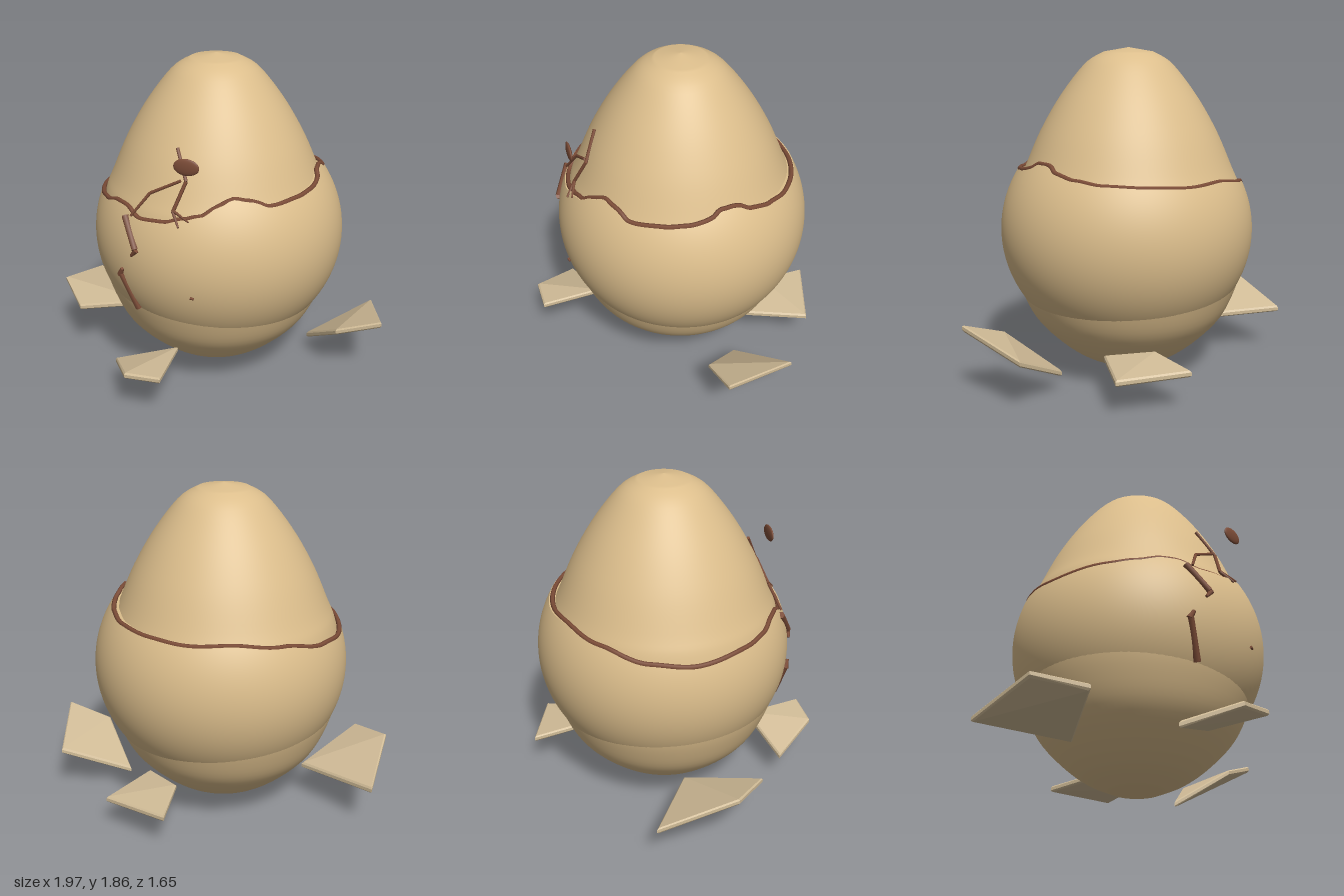
import * as THREE from 'three';
import { ConvexGeometry } from 'three/addons/geometries/ConvexGeometry.js';

const mat = (name, color) => new THREE.MeshStandardMaterial({ name, color });
const eggMat = mat('tan eggshell', 0xdcbe8c);
const shardMat = mat('pale shard', 0xd2bd98);
const crackMat = mat('brown crack', 0x7d4d38);

// Egg profile as [radius, height], bottom to top
const EGG = { x: -0.035, z: -0.045 };
const profile = [[0.14, 0.035], [0.285, 0.1], [0.42, 0.2], [0.55, 0.34], [0.625, 0.5], [0.663, 0.65],
  [0.674, 0.8], [0.664, 0.95], [0.63, 1.1], [0.588, 1.2], [0.5, 1.4], [0.383, 1.6], [0.245, 1.775], [0.14, 1.841]];
const curve = new THREE.SplineCurve(profile.map(p => new THREE.Vector2(...p)));
const eggPoints = [new THREE.Vector2(0, 0.005), ...curve.getPoints(60), new THREE.Vector2(0, 1.865)];

function eggRadius(y) {
  const i = Math.max(1, eggPoints.findIndex(p => p.y >= y));
  const a = eggPoints[i - 1], b = eggPoints[i];
  return THREE.MathUtils.lerp(a.x, b.x, (y - a.y) / (b.y - a.y));
}

// Outer lower shell: a slightly flattened ball cut off at a wavy rim
const SHELL = { x: -0.02, y: 0.84, z: -0.05, r: 0.72, ry: 0.68 };
const shellRadius = y => SHELL.r * Math.sqrt(1 - ((y - SHELL.y) / SHELL.ry) ** 2);

// Rim height by angle in degrees, measured from the front towards +x
const rim = [[-90, 1.06], [-63, 1.085], [-50, 1.1], [-38, 1.13], [-31, 1.13], [-20, 1.09], [-7, 1.1],
  [3, 1.13], [11, 1.15], [20, 1.2], [27, 1.23], [36, 1.215], [46, 1.18], [63, 1.19], [76, 1.2], [85, 1.215],
  [93, 1.25], [101, 1.25], [111, 1.21], [121, 1.19], [137, 1.17], [160, 1.16], [180, 1.15], [200, 1.16],
  [225, 1.13], [250, 1.08], [270, 1.06]];
function rimHeight(phi) {
  let d = THREE.MathUtils.radToDeg(phi);
  d = ((d + 90) % 360 + 360) % 360 - 90;
  const i = Math.max(1, rim.findIndex(p => p[0] >= d));
  const [a, b] = [rim[i - 1], rim[i]];
  return THREE.MathUtils.lerp(a[1], b[1], THREE.MathUtils.smoothstep(d, a[0], b[0]));
}

function shellGeometry() {
  const rows = 30, segs = 144, n = rows + 3;
  const g = new THREE.LatheGeometry(Array.from({ length: n }, (_, j) => new THREE.Vector2(1, j)), segs, Math.PI);
  const pos = g.attributes.position, nor = g.attributes.normal;
  for (let k = 0; k < pos.count; k++) {
    const j = k % n, phi = Math.PI + Math.floor(k / n) / segs * Math.PI * 2;
    const top = rimHeight(phi);
    const y = THREE.MathUtils.lerp(0.45, top, Math.min(j / rows, 1));
    const s = Math.sin(phi), c = Math.cos(phi);
    const r = shellRadius(y) - (j === rows + 2 ? 0.06 : 0);
    pos.setXYZ(k, s * r, y, c * r);
    // The last two rows form the flat lip
    const v = j > rows ? new THREE.Vector3(0, 1, 0)
      : new THREE.Vector3(s * r / SHELL.r ** 2, (y - SHELL.y) / SHELL.ry ** 2, c * r / SHELL.r ** 2).normalize();
    nor.setXYZ(k, v.x, v.y, v.z);
  }
  return g;
}

// Front surface point at a given x and y, raised by lift
function onFront(x, y, lift) {
  const depth = (r, cx) => Math.sqrt(Math.max(0, r * r - (x - cx) ** 2));
  let z = EGG.z + depth(eggRadius(y), EGG.x);
  if (y > 0.45 && y < rimHeight(Math.atan2(x - SHELL.x, z - SHELL.z))) {
    z = Math.max(z, SHELL.z + depth(shellRadius(y), SHELL.x));
  }
  return new THREE.Vector3(x, y, z + lift);
}

// Straight tapered rod between two points
function rod(a, b, r0, r1) {
  const d = b.clone().sub(a);
  const m = new THREE.Mesh(new THREE.CylinderGeometry(r1, r0, d.length(), 6), crackMat);
  m.position.copy(a).addScaledVector(d, 0.5);
  m.quaternion.setFromUnitVectors(new THREE.Vector3(0, 1, 0), d.normalize());
  return m;
}

// Thin bevelled slab from four corners
function slab(corners) {
  const mid = corners.reduce((s, c) => s.add(new THREE.Vector3(...c)), new THREE.Vector3()).multiplyScalar(0.25);
  const pts = [];
  for (const c of corners) {
    for (const [h, inset] of [[-0.018, 0.012], [-0.009, 0], [0.009, 0], [0.018, 0.012]]) {
      const p = new THREE.Vector3(...c);
      p.addScaledVector(mid.clone().sub(p).normalize(), inset);
      p.y += h;
      pts.push(p);
    }
  }
  return new ConvexGeometry(pts);
}

export function createModel() {
  const model = new THREE.Group();
  const add = (name, mesh, parent = model) => { mesh.name = name; parent.add(mesh); return mesh; };

  // Inner egg and outer lower shell
  add('egg', new THREE.Mesh(new THREE.LatheGeometry(eggPoints, 96), eggMat)).position.set(EGG.x, 0, EGG.z);
  add('lowerShell', new THREE.Mesh(shellGeometry(), eggMat)).position.set(SHELL.x, 0, SHELL.z);

  // Brown broken edge along the rim, most exposed at the sides
  const ring = Array.from({ length: 90 }, (_, i) => {
    const phi = i / 90 * Math.PI * 2, y = rimHeight(phi);
    const r = shellRadius(y) - 0.022 + 0.013 * Math.abs(Math.sin(phi));
    return new THREE.Vector3(SHELL.x + Math.sin(phi) * r, y, SHELL.z + Math.cos(phi) * r);
  });
  add('rimEdge', new THREE.Mesh(
    new THREE.TubeGeometry(new THREE.CatmullRomCurve3(ring, true), 240, 0.014, 6, true), crackMat));

  // Branching cracks on the front: x, y to x, y, start and end radius
  const cracks = add('frontCracks', new THREE.Group());
  [[-0.075, 1.46, 0, 1.31, 0.01, 0.01], [0, 1.31, -0.05, 1.16, 0.01, 0.01], [-0.05, 1.16, 0, 1.1, 0.01, 0.006],
    [-0.05, 1.165, 0.05, 1.13, 0.01, 0.005], [-0.03, 1.31, -0.2, 1.225, 0.008, 0.009],
    [-0.2, 1.225, -0.295, 1.1, 0.009, 0.007], [-0.335, 1.09, -0.245, 0.94, 0.02, 0.018],
    [-0.235, 0.94, -0.27, 0.9, 0.016, 0.008], [-0.34, 0.8, -0.36, 0.755, 0.01, 0.018],
    [-0.355, 0.765, -0.27, 0.55, 0.016, 0.02], [0.075, 0.725, 0.095, 0.72, 0.008, 0.006],
  ].forEach(([x0, y0, x1, y1, r0, r1], i) =>
    add('crack' + (i + 1), rod(onFront(x0, y0, 0.008), onFront(x1, y1, 0.008), r0, r1), cracks));

  // Small floating disc in front of the egg
  const disc = add('floatingDisc', new THREE.Mesh(new THREE.SphereGeometry(1, 24, 16), crackMat));
  disc.scale.set(0.07, 0.045, 0.012);
  disc.position.set(0.04, 1.425, 0.598);

  // Fallen shell pieces around the base
  const shards = {
    leftShard: [[0.85, 0.29, -0.42], [0.985, 0.385, 0.01], [0.73, 0.3, 0.035], [0.5, 0.1, -0.21]],
    rightShard: [[-0.96, 0.265, -0.33], [-0.52, 0.21, -0.06], [-0.78, 0.325, 0.315], [-0.985, 0.385, 0.11]],
    frontShard: [[-0.04, 0.285, 0.82], [-0.25, 0.27, 0.82], [-0.43, 0.175, 0.56], [-0.08, 0.27, 0.47]],
    backShard: [[0.075, 0.215, -0.83], [0.455, 0.195, -0.7], [0.32, 0.2, -0.36], [0.1, 0.24, -0.54]],
  };
  for (const [name, corners] of Object.entries(shards)) add(name, new THREE.Mesh(slab(corners), shardMat));
  return model;
}
